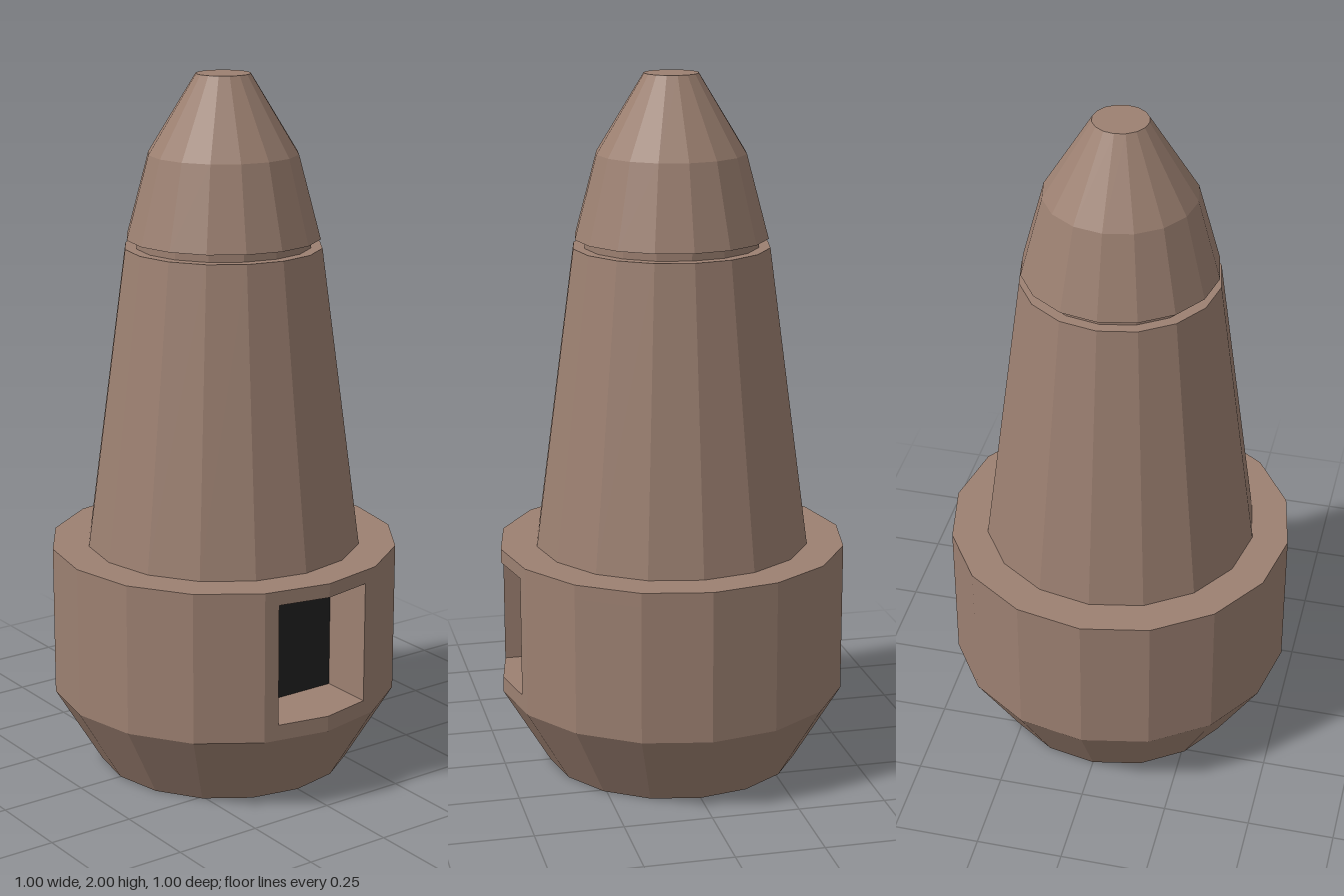
import * as THREE from 'three';

const SIDES = 16;

export function createModel() {
  const group = new THREE.Group();
  const brown = new THREE.MeshStandardMaterial({ color: 0x9c8071, flatShading: true });
  const dark = new THREE.MeshStandardMaterial({ color: 0x222222 });

  const add = (name, geometry, material = brown) => {
    const mesh = new THREE.Mesh(geometry, material);
    mesh.name = name;
    group.add(mesh);
    return mesh;
  };

  // Tapered section between two heights
  const section = (name, y0, y1, r0, r1) => {
    add(name, new THREE.CylinderGeometry(r1, r0, y1 - y0, SIDES)).position.y = (y0 + y1) / 2;
  };

  // Base and collar, with the collar split at the window's sill and head
  const sill = 0.27, head = 0.62;
  section('baseTaper', 0, 0.225, 0.365, 0.5);
  section('collarBottom', 0.225, sill, 0.5, 0.5);
  section('collarTop', head, 0.66, 0.5, 0.5);

  // Middle of the collar: polygon notched on +x for the window recess
  const half = 0.15, back = 0.31;
  const front = 0.5 - half * Math.tan(Math.PI / SIDES); // wall position at the window's edge
  const outline = [];
  for (let i = 1; i < SIDES; i++) {
    const a = (i / SIDES) * Math.PI * 2;
    outline.push(new THREE.Vector2(0.5 * Math.cos(a), 0.5 * Math.sin(a)));
  }
  for (const [x, y] of [[front, -half], [back, -half], [back, half], [front, half]]) {
    outline.push(new THREE.Vector2(x, y));
  }
  const collar = new THREE.ExtrudeGeometry(new THREE.Shape(outline), { depth: head - sill, bevelEnabled: false });
  collar.rotateX(-Math.PI / 2);
  add('collarMiddle', collar).position.y = sill;

  // Dark panel at the back of the recess
  add('windowPanel', new THREE.BoxGeometry(0.02, head - sill, half * 2), dark)
    .position.set(back - 0.007, (sill + head) / 2, 0);

  // Tapered body, recessed neck and two-stage nose
  section('body', 0.66, 1.52, 0.395, 0.28);
  section('neck', 1.52, 1.545, 0.248, 0.248);
  section('noseLower', 1.545, 1.78, 0.275, 0.212);
  section('noseUpper', 1.78, 2, 0.212, 0.077);

  return group;
}
